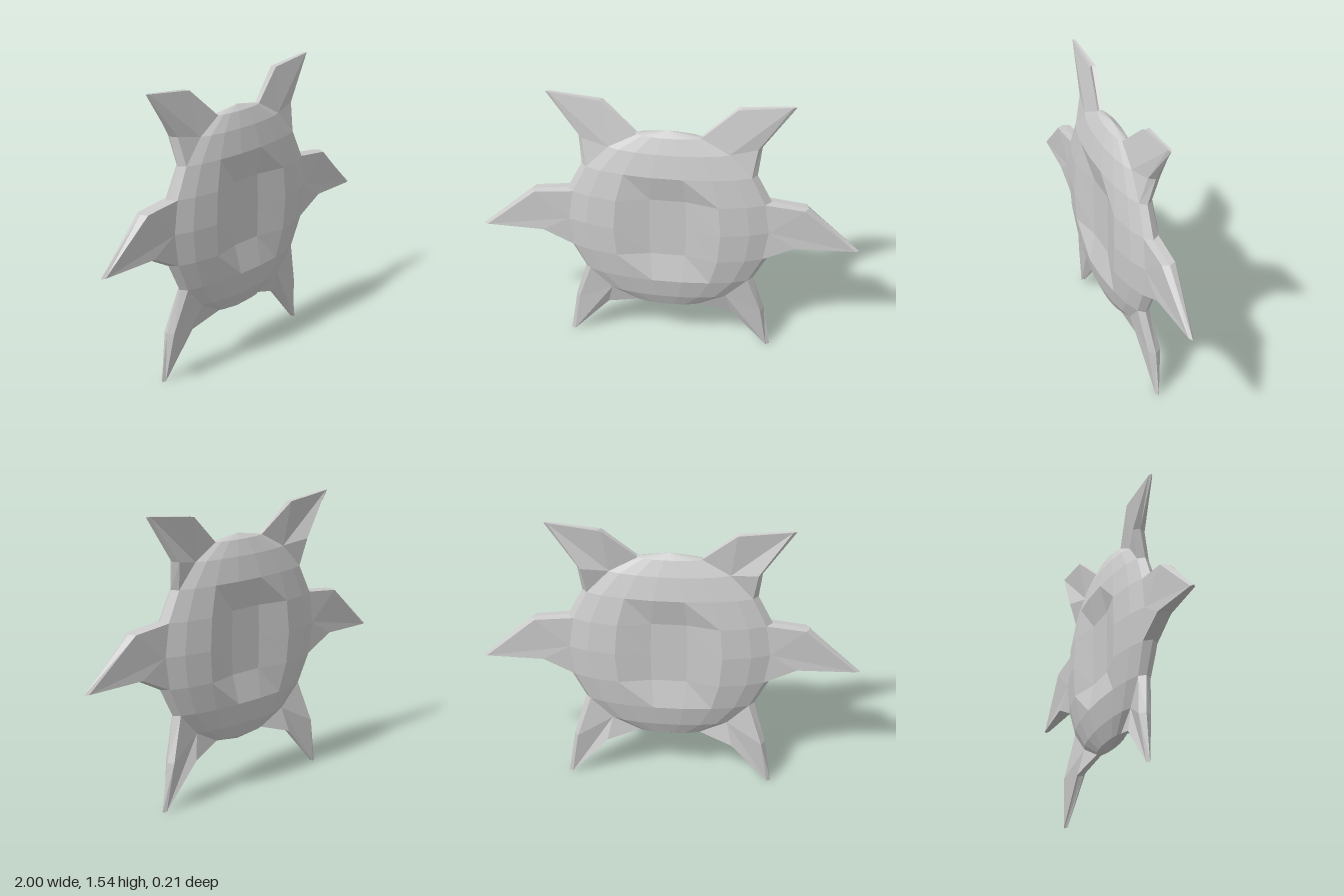
import * as THREE from 'three';

const material = new THREE.MeshStandardMaterial({ color: 0xcccccc, flatShading: true });
const R = 0.56, DEPTH = 0.12, CY = 0.82;

// Flattened low-poly ball with a shallow recess in the middle of both sides
function makeBody() {
  const geo = new THREE.SphereGeometry(R, 18, 10);
  const p = geo.attributes.position;
  for (let i = 0; i < p.count; i++) {
    const x = p.getX(i), y = p.getY(i);
    let z = p.getZ(i) * DEPTH / R;
    if (Math.abs(x) < 0.12 && Math.abs(y) < 0.2) z = Math.sign(z) * 0.062;
    p.setXYZ(i, x, y + CY, z);
  }
  geo.computeVertexNormals();
  const mesh = new THREE.Mesh(geo, material);
  mesh.name = 'body';
  return mesh;
}

// Point where a limb leaves body ring k (18 degree steps from the top)
function root(k) {
  const a = k * Math.PI / 10, s = Math.sin(a), y = CY + R * Math.cos(a);
  const x = R * s, inX = x * Math.cos(Math.PI / 9), h = DEPTH * s * Math.sin(Math.PI / 9);
  return { front: [inX, y, h], ridge: [x, y, 0], back: [inX, y, -h] };
}

// Free point of a limb: the ridge stands slightly proud of front and back
function tip(x, y, zc, h) {
  return { front: [x - 0.02, y, zc + h], ridge: [x, y, zc], back: [x - 0.02, y, zc - h] };
}

// Fan of faces front and back, joined by a ridged rim; side = 1 left, -1 right
function makeLimb(name, centre, outline, side) {
  const pos = [];
  const tri = (a, b, c) => {
    for (const v of side > 0 ? [a, b, c] : [a, c, b]) pos.push(v[0] * side, v[1], v[2]);
  };
  const quad = (a, b, c, d) => { tri(a, b, c); tri(a, c, d); };
  for (let i = 0; i < outline.length - 1; i++) {
    const p = outline[i], q = outline[i + 1];
    tri(centre.front, p.front, q.front);
    tri(centre.back, q.back, p.back);
    quad(p.front, p.ridge, q.ridge, q.front);
    quad(p.ridge, p.back, q.back, q.ridge);
  }
  const geo = new THREE.BufferGeometry();
  geo.setAttribute('position', new THREE.Float32BufferAttribute(pos, 3));
  geo.computeVertexNormals();
  const mesh = new THREE.Mesh(geo, material);
  mesh.name = name;
  return mesh;
}

export function createModel() {
  const group = new THREE.Group();
  group.name = 'spikedShell';
  group.add(makeBody());

  // Outlines run counterclockwise on the left side
  const limbs = [
    ['UpperSpike', root(2), [root(3), tip(0.47, 1.3, -0.033, 0.033), tip(0.63, 1.54, -0.035, 0.01),
      tip(0.36, 1.51, -0.035, 0.017), root(1)]],
    ['MiddleSpike', root(5), [root(6), tip(0.69, 0.73, 0, 0.036), tip(1, 0.72, 0, 0.012),
      tip(0.725, 0.97, 0, 0.036), root(4)]],
    ['LowerSpike', root(8), [root(9), tip(0.36, 0.23, -0.035, 0.017), tip(0.56, 0, -0.037, 0.01),
      tip(0.52, 0.26, -0.033, 0.033), root(7)]],
  ];
  for (const [name, centre, outline] of limbs) {
    group.add(makeLimb('left' + name, centre, outline, 1));
    group.add(makeLimb('right' + name, centre, outline, -1));
  }
  return group;
}
